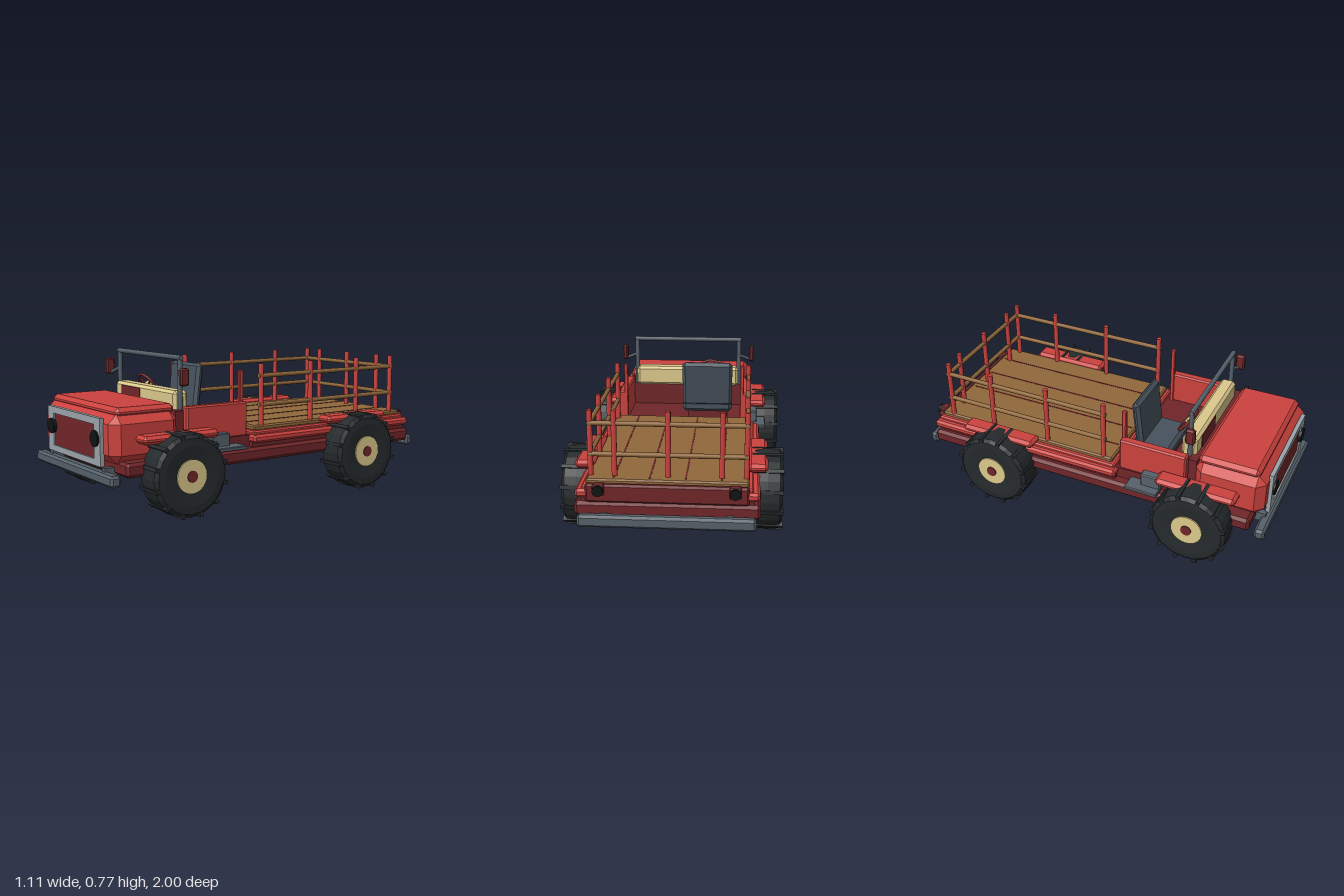
import * as THREE from 'three';
import { ConvexGeometry } from 'three/addons/geometries/ConvexGeometry.js';

const paint = (color, flatShading = false) => new THREE.MeshStandardMaterial({ color, flatShading });
const RED = paint(0xcc423e), DARK = paint(0x702629), STEEL = paint(0x56616a), SEAT = paint(0x46525d);
const WOOD = paint(0x90673b), CREAM = paint(0xdcc98c), RUBBER = paint(0x252a2c, true);
const BLACK = paint(0x111213), SILVER = paint(0x9ba4ab);

function add(parent, name, geometry, material, x = 0, y = 0, z = 0) {
  const mesh = new THREE.Mesh(geometry, material);
  mesh.name = name;
  mesh.position.set(x, y, z);
  parent.add(mesh);
  return mesh;
}

// Box between two limits per axis, with every edge chamfered by c
function block(parent, name, material, [x0, x1], [y0, y1], [z0, z1], c = 0.008) {
  const h = [(x1 - x0) / 2, (y1 - y0) / 2, (z1 - z0) / 2];
  let geometry;
  if (c === 0) geometry = new THREE.BoxGeometry(2 * h[0], 2 * h[1], 2 * h[2]);
  else {
    const points = [];
    for (const sx of [-1, 1]) for (const sy of [-1, 1]) for (const sz of [-1, 1])
      for (let full = 0; full < 3; full++) {
        const [a, b, d] = h.map((v, i) => (i === full ? v : v - c));
        points.push(new THREE.Vector3(sx * a, sy * b, sz * d));
      }
    geometry = new ConvexGeometry(points);
  }
  return add(parent, name, geometry, material, (x0 + x1) / 2, (y0 + y1) / 2, (z0 + z1) / 2);
}

// Round bar between two points
function bar(parent, name, material, a, b, r, sides = 10) {
  const p = new THREE.Vector3(...a), q = new THREE.Vector3(...b);
  const mesh = add(parent, name, new THREE.CylinderGeometry(r, r, p.distanceTo(q), sides), material);
  mesh.position.copy(p).add(q).multiplyScalar(0.5);
  mesh.quaternion.setFromUnitVectors(new THREE.Vector3(0, 1, 0), q.sub(p).normalize());
  return mesh;
}

// Limits of a block on one side of the model
const side = (s, a, b) => (s > 0 ? [a, b] : [-b, -a]);

function makeWheel() {
  const wheel = new THREE.Group();
  wheel.name = 'wheel';
  const profile = [[0.08, -0.07], [0.15, -0.077], [0.185, -0.075], [0.203, -0.06], [0.206, 0],
    [0.203, 0.06], [0.185, 0.075], [0.15, 0.077], [0.08, 0.07]].map(p => new THREE.Vector2(...p));
  add(wheel, 'tire', new THREE.LatheGeometry(profile, 24), RUBBER);
  // Tread lugs across the tire
  for (let i = 0; i < 12; i++) {
    const a = (i + 0.5) * Math.PI / 6;
    const lug = add(wheel, 'treadLug', new THREE.BoxGeometry(0.025, 0.158, 0.02), RUBBER,
      Math.sin(a) * 0.197, 0, Math.cos(a) * 0.197);
    lug.rotation.y = a + Math.PI / 2;
  }
  add(wheel, 'rim', new THREE.CylinderGeometry(0.084, 0.084, 0.154, 24), CREAM);
  add(wheel, 'hub', new THREE.CylinderGeometry(0.029, 0.029, 0.163, 12), DARK);
  wheel.rotation.z = Math.PI / 2;
  return wheel;
}

function addBody(g) {
  block(g, 'chassis', DARK, [-0.44, 0.44], [0.213, 0.285], [-0.945, 0.92], 0.015);
  block(g, 'bedSill', DARK, [-0.41, 0.41], [0.275, 0.31], [-0.93, 0.17], 0);
  block(g, 'bedFrame', RED, [-0.435, 0.435], [0.305, 0.347], [-0.945, 0.175], 0.012);
  block(g, 'bedBase', RED, [-0.405, 0.405], [0.34, 0.365], [-0.93, 0.16]);
  block(g, 'tailPanel', DARK, [-0.385, 0.385], [0.285, 0.375], [-0.95, -0.915], 0.01);
  // Cargo floor planks with dark seams
  block(g, 'cargoFloor', WOOD, [-0.385, 0.385], [0.36, 0.39], [-0.915, 0.14]);
  for (const x of [-0.255, -0.085, 0.085, 0.255])
    block(g, 'plankSeam', DARK, [x - 0.004, x + 0.004], [0.385, 0.392], [-0.89, 0.12], 0);
  // Engine bay and hood
  block(g, 'engineBody', RED, [-0.39, 0.39], [0.27, 0.51], [0.59, 0.967], 0.045);
  block(g, 'hood', RED, [-0.36, 0.36], [0.49, 0.54], [0.605, 0.93], 0.02);
  // Open cab
  block(g, 'cabFloor', DARK, [-0.385, 0.385], [0.28, 0.345], [0.165, 0.61], 0);
  block(g, 'firewall', DARK, [-0.355, 0.355], [0.33, 0.5], [0.555, 0.6], 0);
  for (const s of [-1, 1]) {
    block(g, 'cabSide', RED, side(s, 0.33, 0.38), [0.34, 0.52], [0.18, 0.55], 0.008);
    block(g, 'cabPost', RED, side(s, 0.324, 0.346), [0.34, 0.68], [0.18, 0.203], 0.004);
    block(g, 'runningBoard', STEEL, side(s, 0.38, 0.475), [0.29, 0.31], [0.25, 0.43], 0.004);
    block(g, 'stepBox', STEEL, side(s, 0.37, 0.425), [0.305, 0.375], [0.32, 0.43], 0.005);
    for (const z of [0.63, -0.51])
      block(g, 'fender', RED, side(s, 0.375, 0.475), [0.368, 0.41], [z - 0.215, z + 0.215], 0.016);
  }
}

function addEnds(g) {
  // Grille frame with a rectangular opening
  const frame = new THREE.Shape([[-0.295, 0.255], [0.295, 0.255], [0.295, 0.49], [-0.295, 0.49]]
    .map(p => new THREE.Vector2(...p)));
  frame.holes.push(new THREE.Path([[-0.23, 0.287], [-0.23, 0.455], [0.23, 0.455], [0.23, 0.287]]
    .map(p => new THREE.Vector2(...p))));
  add(g, 'grilleFrame', new THREE.ExtrudeGeometry(frame, { depth: 0.022, bevelEnabled: false }), SILVER, 0, 0, 0.963);
  block(g, 'grille', DARK, [-0.24, 0.24], [0.28, 0.46], [0.95, 0.977], 0);
  block(g, 'frontBumper', STEEL, [-0.43, 0.43], [0.175, 0.232], [0.945, 1], 0.012);
  block(g, 'rearBumper', STEEL, [-0.42, 0.42], [0.178, 0.238], [-1, -0.953], 0.012);
  for (const s of [-1, 1]) {
    bar(g, 'headlight', BLACK, [s * 0.247, 0.388, 0.97], [s * 0.247, 0.388, 0.995], 0.04, 20);
    block(g, 'frontBumperBracket', STEEL, side(s, 0.28, 0.312), [0.2, 0.25], [0.89, 0.97], 0);
    block(g, 'rearBumperBracket', STEEL, side(s, 0.28, 0.312), [0.2, 0.235], [-0.97, -0.92], 0);
    block(g, 'tailLightMount', DARK, side(s, 0.292, 0.348), [0.325, 0.378], [-0.965, -0.92], 0.006);
    bar(g, 'tailLight', BLACK, [s * 0.32, 0.352, -0.96], [s * 0.32, 0.352, -0.98], 0.026, 16);
  }
}

function addCab(g) {
  block(g, 'dashboard', CREAM, [-0.308, 0.308], [0.48, 0.593], [0.495, 0.578], 0.015);
  block(g, 'dashPanel', DARK, [-0.232, -0.034], [0.5, 0.577], [0.57, 0.582], 0);
  // Windshield hoop
  for (const s of [-1, 1]) {
    bar(g, 'windshieldPost', STEEL, [s * 0.31, 0.48, 0.545], [s * 0.31, 0.758, 0.545], 0.013);
    bar(g, 'mirrorArm', STEEL, [s * 0.31, 0.665, 0.545], [s * 0.38, 0.635, 0.565], 0.009);
    block(g, 'mirror', DARK, side(s, 0.371, 0.402), [0.625, 0.712], [0.545, 0.595], 0.008);
  }
  bar(g, 'windshieldTop', STEEL, [-0.323, 0.758, 0.545], [0.323, 0.758, 0.545], 0.013);
  // Steering wheel, its face tilted up towards the driver
  const steering = new THREE.Group();
  steering.name = 'steeringWheel';
  steering.position.set(-0.14, 0.58, 0.467);
  steering.rotation.x = Math.PI + 0.63;
  add(steering, 'steeringRim', new THREE.TorusGeometry(0.07, 0.008, 8, 28), DARK);
  for (let i = 0; i < 3; i++) {
    const a = Math.PI / 2 + i * Math.PI * 2 / 3;
    bar(steering, 'spoke', DARK, [0, 0, 0], [0.07 * Math.cos(a), 0.07 * Math.sin(a), 0], 0.005, 6);
  }
  bar(steering, 'steeringHub', CREAM, [0, 0, -0.012], [0, 0, 0.012], 0.018, 12);
  bar(steering, 'steeringColumn', CREAM, [0, 0, -0.09], [0, 0, 0], 0.01);
  g.add(steering);
  // Driver seat
  block(g, 'seatBase', DARK, [-0.25, -0.02], [0.33, 0.4], [0.25, 0.4], 0);
  block(g, 'seatCushion', SEAT, [-0.275, 0.01], [0.39, 0.455], [0.235, 0.42], 0.018);
  block(g, 'seatBack', SEAT, [-0.277, 0.01], [0.43, 0.69], [0.213, 0.255], 0.016).rotation.x = -0.12;
}

function addFence(g) {
  const sideZ = [0.085, -0.25, -0.585, -0.85];
  const post = (x, z) => bar(g, 'fencePost', RED, [x, 0.36, z], [x, 0.71, z], 0.0135);
  for (const s of [-1, 1]) for (const z of sideZ) post(s * 0.37, z);
  for (const x of [-0.255, 0, 0.255]) post(x, -0.855);
  for (const y of [0.495, 0.647]) {
    for (const s of [-1, 1]) bar(g, 'sideRail', WOOD, [s * 0.37, y, 0.1], [s * 0.37, y, -0.865], 0.012);
    bar(g, 'rearRail', WOOD, [-0.38, y, -0.855], [0.38, y, -0.855], 0.012);
  }
}

export function createModel() {
  const g = new THREE.Group();
  g.name = 'openTruck';
  addBody(g);
  addEnds(g);
  addCab(g);
  addFence(g);
  for (const s of [-1, 1]) for (const z of [0.63, -0.51]) {
    const wheel = makeWheel();
    wheel.position.set(s * 0.475, 0.21, z);
    g.add(wheel);
  }
  return g;
}
